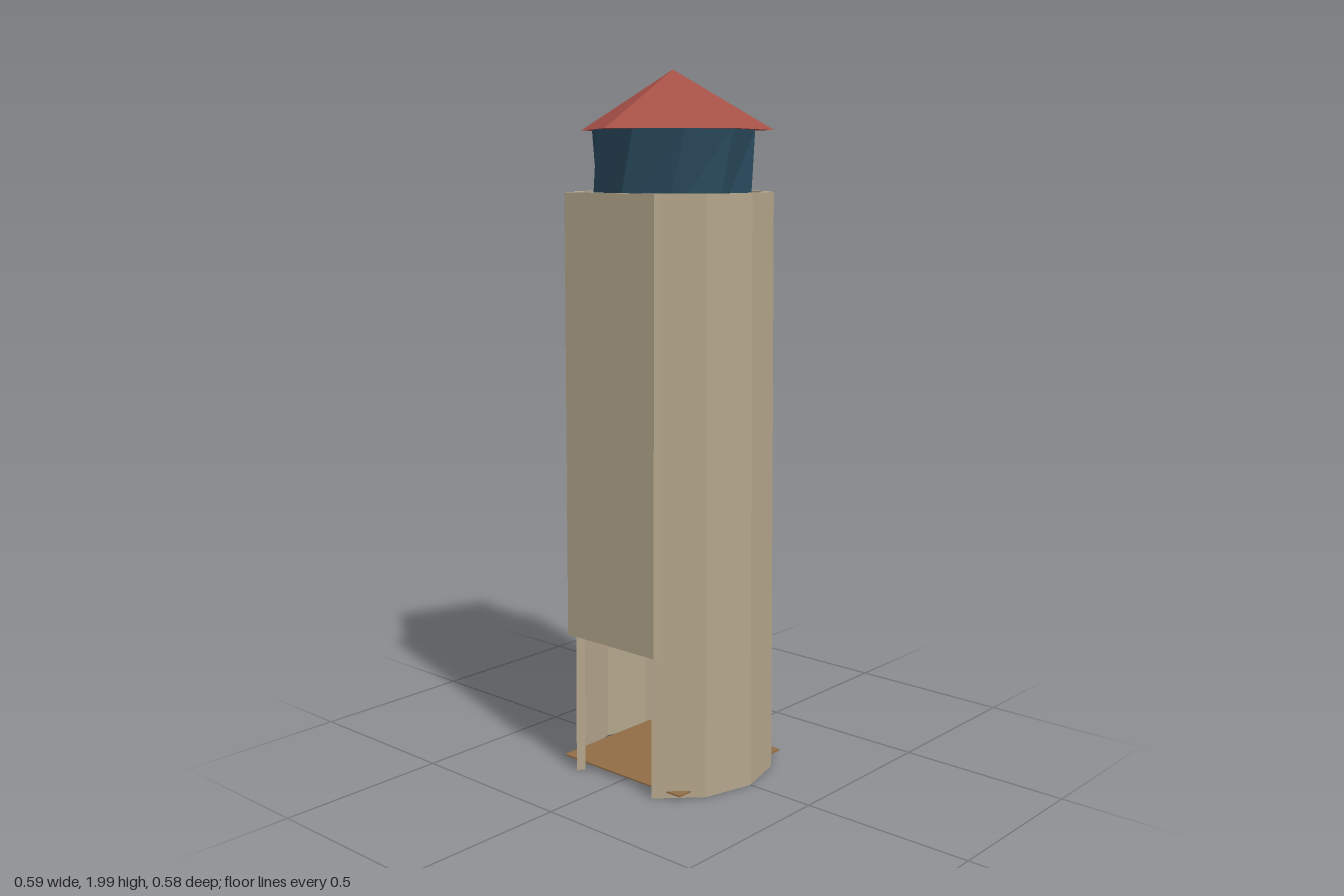
import * as THREE from 'three';

const paint = (color) => new THREE.MeshStandardMaterial({ color, flatShading: true, side: THREE.DoubleSide });

const BOTTOM = 0.01, TOP = 1.67;
const lerp = THREE.MathUtils.lerp, rad = THREE.MathUtils.degToRad;

// Move every vertex of a geometry by a rule.
function reshape(geometry, rule) {
  const p = geometry.attributes.position, v = new THREE.Vector3();
  for (let i = 0; i < p.count; i++) {
    rule(v.fromBufferAttribute(p, i));
    p.setXYZ(i, v.x, v.y, v.z);
  }
  geometry.computeVertexNormals();
  return geometry;
}

// A slab between two angles (degrees from the front), leaning in slightly;
// its thickness may differ between its two ends.
function wallPanel(startAngle, startThick, endThick) {
  return reshape(new THREE.BoxGeometry(1, 1, 1), (v) => {
    const outer = lerp(0.294, 0.282, v.y + 0.5);
    const thick = lerp(startThick, endThick, v.x + 0.5);
    const r = v.z > 0 ? outer : outer - thick;
    const a = rad(startAngle + 30 * (v.x + 0.5));
    v.set(r * Math.sin(a), lerp(BOTTOM, TOP, v.y + 0.5), r * Math.cos(a));
  });
}

export function createModel() {
  const model = new THREE.Group();
  const stone = paint(0xb3a58c), glass = paint(0x28485a);
  const red = paint(0xa65047), wood = paint(0x8f6c45);
  const add = (name, geometry, material, parent = model) => {
    const mesh = new THREE.Mesh(geometry, material);
    mesh.name = name;
    parent.add(mesh);
    return mesh;
  };

  // Ring of wall panels, open at the front; a few of them are thin
  const walls = new THREE.Group();
  walls.name = 'towerWalls';
  model.add(walls);
  const thin = { 30: [0.003, 0.022], 60: [0.022, 0.003], 180: [0.003, 0.003] };
  for (let a = 30; a < 330; a += 30) {
    const [t0, t1] = thin[a] ?? [0.026, 0.026];
    add('wallPanel', wallPanel(a, t0, t1), stone, walls);
  }

  // Wide panel above the doorway
  add('panelAboveDoor', reshape(new THREE.BoxGeometry(0.33, 1.25, 0.022), (v) => {
    v.z += lerp(0.254, 0.247, v.y / 1.25 + 0.5);
    v.y += 1.045;
  }), stone);

  // Thin square floor whose corners poke through the walls
  add('floor', new THREE.BoxGeometry(0.45, 0.004, 0.45), wood).position.y = 0.028;

  // Lantern room with slanted panes
  add('lanternRoom', reshape(new THREE.CylinderGeometry(0.228, 0.228, 0.26, 10), (v) => {
    if (v.y > 0) v.applyAxisAngle(new THREE.Vector3(0, 1, 0), rad(14));
    v.y += 1.71;
  }), glass);

  // Slightly uneven five-sided roof
  const eaves = [[0.02, 0.29], [0.277, 0.06], [0.19, -0.21], [-0.165, -0.24], [-0.27, 0.088]];
  const roof = [];
  eaves.forEach(([x, z], i) => {
    const [nx, nz] = eaves[(i + 1) % eaves.length];
    roof.push(0, 2, 0, x, 1.838, z, nx, 1.838, nz);
    roof.push(0, 1.838, 0, nx, 1.838, nz, x, 1.838, z);
  });
  const roofGeometry = new THREE.BufferGeometry();
  roofGeometry.setAttribute('position', new THREE.Float32BufferAttribute(roof, 3));
  roofGeometry.computeVertexNormals();
  add('roof', roofGeometry, red);

  return model;
}
